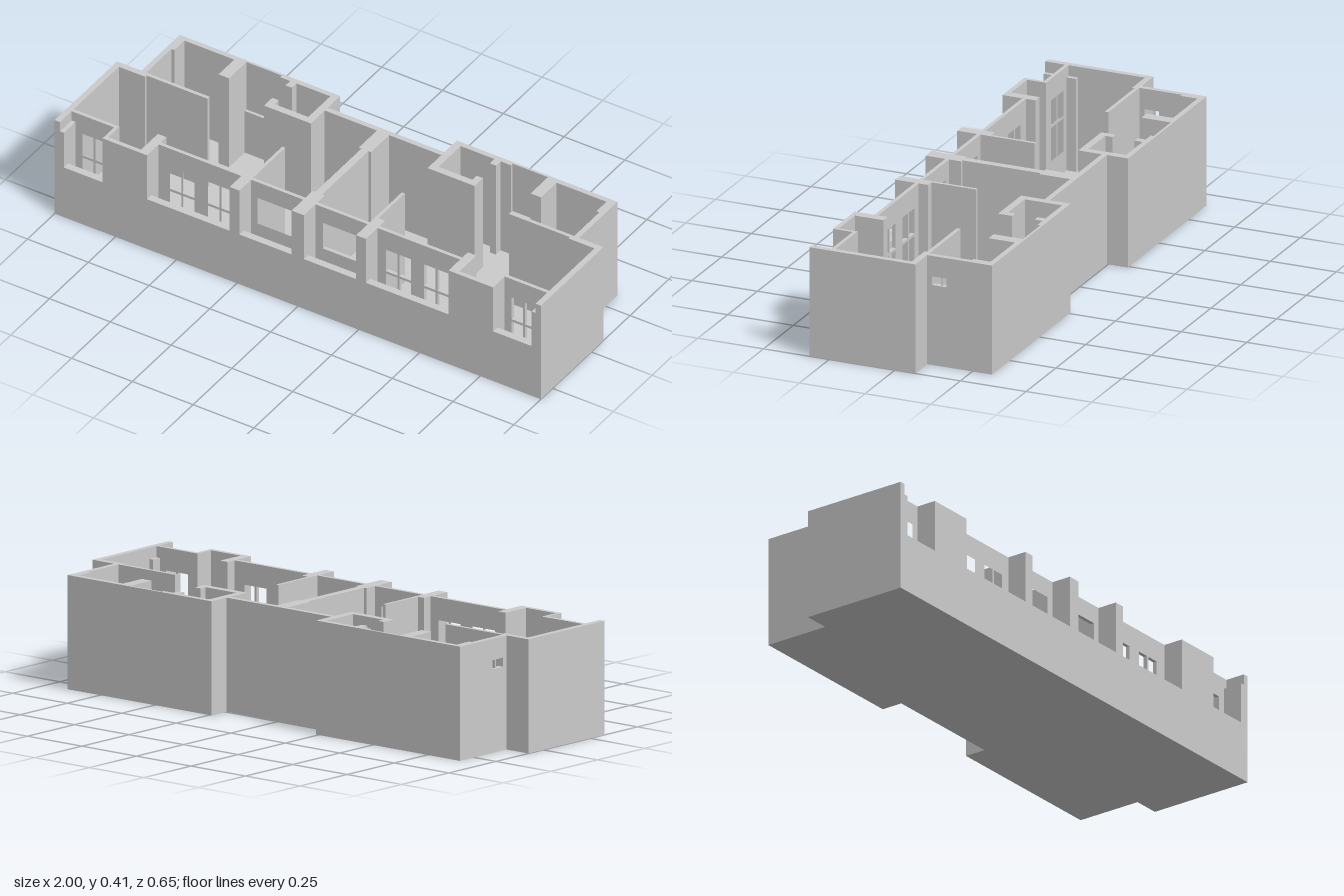
import * as THREE from 'three';

const H = 0.405;      // wall height
const FLOOR = 0.02;   // slab thickness
const PARAPET = 0.215;

const material = new THREE.MeshStandardMaterial({ color: 0xcccccc, flatShading: true });

// Axis-aligned block given by its limits
function block(parent, name, x0, x1, z0, z1, y0 = 0, y1 = H) {
  const mesh = new THREE.Mesh(
    new THREE.BoxGeometry(Math.abs(x1 - x0), y1 - y0, z1 - z0), material);
  mesh.position.set((x0 + x1) / 2, (y0 + y1) / 2, (z0 + z1) / 2);
  mesh.name = name;
  parent.add(mesh);
}

function rectangle(target, x0, x1, y0, y1) {
  target.moveTo(x0, y0);
  target.lineTo(x1, y0);
  target.lineTo(x1, y1);
  target.lineTo(x0, y1);
  target.closePath();
  return target;
}

// Wall facing front, with rectangular openings [x0, x1, y0, y1]
function windowWall(parent, name, s, x0, x1, openings) {
  const shape = rectangle(new THREE.Shape(), s * x0, s * x1, 0, H);
  for (const [a, b, y0, y1] of openings) {
    shape.holes.push(rectangle(new THREE.Path(), s * a, s * b, y0, y1));
  }
  const geometry = new THREE.ExtrudeGeometry(shape, { depth: 0.014, bevelEnabled: false });
  const mesh = new THREE.Mesh(geometry, material);
  mesh.position.z = 0.236;
  mesh.name = name;
  parent.add(mesh);
}

// Two-leaf glazed door: each leaf has a tall upper and a lower opening
function doublePane(x) {
  const openings = [];
  for (const a of [x, x + 0.055]) {
    openings.push([a, a + 0.047, 0.232, 0.325], [a, a + 0.047, 0.1, 0.222]);
  }
  return openings;
}

// One dwelling; s = 1 or -1 picks the side
function dwelling(s) {
  const g = new THREE.Group();
  g.name = s > 0 ? 'leftDwelling' : 'rightDwelling';
  const b = (name, x0, x1, ...rest) => block(g, name, s * x0, s * x1, ...rest);

  // Floor slabs
  b('mainFloor', 0, 1, -0.078, 0.325, 0, FLOOR);
  b('middleFloor', 0, 0.24, -0.245, -0.078, 0, FLOOR);
  b('rearFloor', 0.24, 0.9, -0.325, -0.078, 0, FLOOR);

  // Front: parapet, bay and piers
  b('parapet', 0, 1, 0.297, 0.325, 0, PARAPET);
  b('bayFront', 0.62, 0.803, 0.308, 0.325);
  b('bayReturn', 0.79, 0.803, 0.236, 0.325);
  b('bayPier', 0.62, 0.655, 0.2, 0.325);
  b('middlePier', 0.24, 0.28, 0.2, 0.325);
  b('partyPier', 0, 0.025, 0.19, 0.325);
  b('cornerUpstand', 0.962, 0.98, 0.2, 0.325, 0, 0.365);

  // Recessed window walls
  windowWall(g, 'endWindowWall', s, 0.803, 0.98, doublePane(0.832));
  windowWall(g, 'pairWindowWall', s, 0.28, 0.62, [...doublePane(0.315), ...doublePane(0.472)]);
  windowWall(g, 'largeWindowWall', s, 0.025, 0.24, [[0.055, 0.213, 0.226, 0.337]]);

  // Outer walls
  b('sideWall', 0.978, 1, -0.078, 0.325);
  b('crossWall', 0.62, 0.98, -0.078, -0.064);
  b('crossWallThickening', 0.87, 0.98, -0.066, -0.055);
  b('middleBackWall', 0, 0.24, -0.245, -0.225);
  b('rearWallOuter', 0.24, 0.9, -0.325, -0.316);
  b('rearWallInner', 0.24, 0.475, -0.318, -0.305);
  b('rearWallInner', 0.62, 0.9, -0.318, -0.305);
  b('rearWallSill', 0.475, 0.62, -0.318, -0.305, 0, 0.2);

  // Rear side wall built around a small two-light window
  b('rearSideBelowWindow', 0.88, 0.9, -0.325, -0.07, 0, 0.297);
  b('rearSideAboveWindow', 0.88, 0.9, -0.325, -0.07, 0.329, H);
  b('rearSideJamb', 0.88, 0.9, -0.325, -0.152, 0.297, 0.329);
  b('rearSideJamb', 0.88, 0.9, -0.097, -0.07, 0.297, 0.329);
  b('windowMullion', 0.884, 0.896, -0.134, -0.13, 0.297, 0.329);
  b('rearCornerThickening', 0.868, 0.882, -0.305, -0.24);

  // Closet with a door gap in its outer side
  b('closetInnerWall', 0.24, 0.268, -0.325, -0.136);
  b('closetFrontWall', 0.24, 0.433, -0.163, -0.136);
  b('closetDoorJamb', 0.407, 0.433, -0.19, -0.136);
  b('closetDoorJamb', 0.407, 0.433, -0.31, -0.275);

  // Inner partitions
  b('rearPartition', 0.62, 0.663, -0.31, -0.204);
  b('livingPartition', 0.24, 0.252, 0.03, 0.2);
  b('partyWall', 0, 0.014, -0.245, 0.2);
  b('partyWallThickening', 0, 0.025, -0.23, -0.108);
  return g;
}

export function createModel() {
  const model = new THREE.Group();
  model.name = 'twinDwellingFloor';
  for (const s of [1, -1]) model.add(dwelling(s));
  return model;
}
